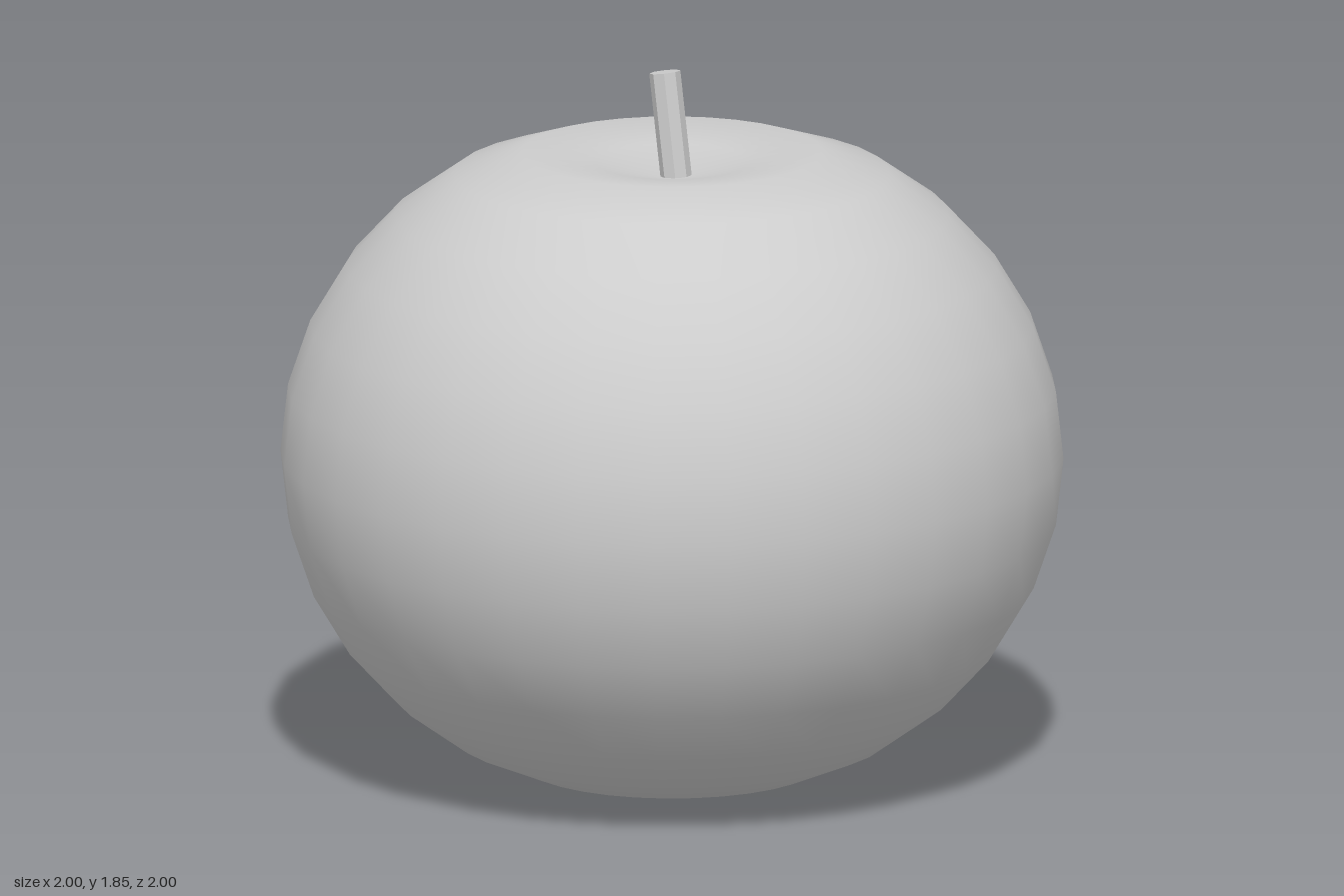
import * as THREE from 'three';
import { mergeVertices } from 'three/addons/utils/BufferGeometryUtils.js';

const CENTER_Y = 0.842;
const HALF_HEIGHT = 0.892;

// Squashed sphere with a soft hollow at the top and a shallow one underneath
function fruitGeometry() {
  let geometry = new THREE.SphereGeometry(1, 32, 16);
  geometry.deleteAttribute('uv');
  geometry.deleteAttribute('normal');
  geometry = mergeVertices(geometry, 1e-4);
  const p = geometry.attributes.position;
  for (let i = 0; i < p.count; i++) {
    const r2 = p.getX(i) ** 2 + p.getZ(i) ** 2;
    let y = p.getY(i) * HALF_HEIGHT;
    if (y > 0) y -= 0.167 * Math.exp(-r2 / 0.0855);
    else y += 0.05 * Math.exp(-r2 / 0.105);
    p.setY(i, Math.max(0, CENTER_Y + y));
  }
  geometry.computeVertexNormals();
  return geometry;
}

export function createModel() {
  const group = new THREE.Group();
  group.name = 'fruit';
  const grey = new THREE.MeshStandardMaterial({ color: 0xcccccc });
  grey.name = 'light grey';

  const body = new THREE.Mesh(fruitGeometry(), grey);
  body.name = 'body';
  group.add(body);

  // Faceted stem leaning towards -x
  const stemGeometry = new THREE.CylinderGeometry(0.04, 0.04, 0.28, 8).toNonIndexed();
  stemGeometry.computeVertexNormals();
  const stem = new THREE.Mesh(stemGeometry, grey);
  stem.name = 'stem';
  stem.position.set(-0.005, 1.702, 0);
  stem.rotation.z = 0.16;
  group.add(stem);

  return group;
}
